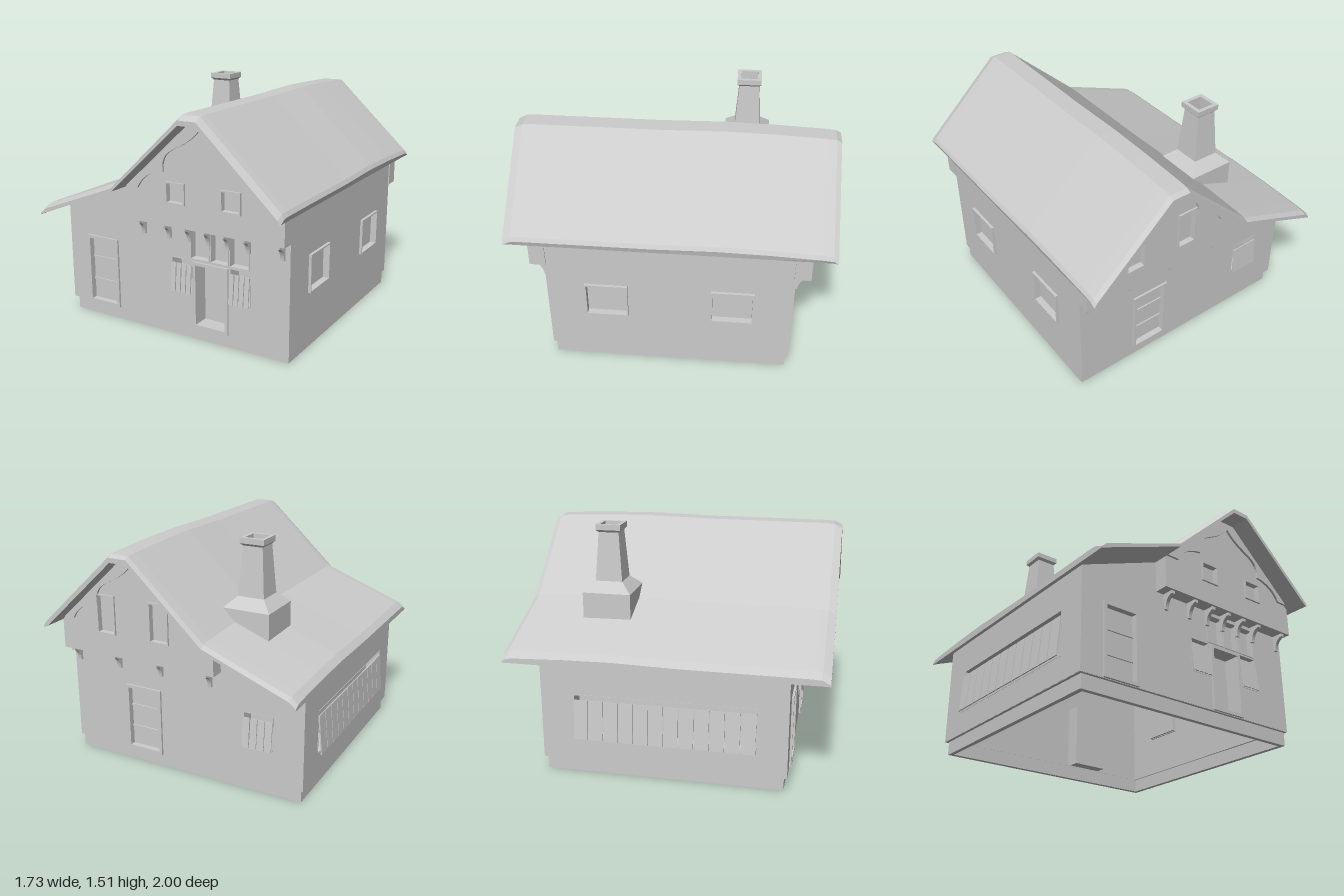
import * as THREE from 'three';

const grey = new THREE.MeshStandardMaterial({ color: 0xcccccc, flatShading: true });

function add(parent, name, geo, x = 0, y = 0, z = 0) {
  const m = new THREE.Mesh(geo, grey);
  m.name = name;
  m.position.set(x, y, z);
  parent.add(m);
  return m;
}

const poly = pts => new THREE.Shape(pts.map(p => new THREE.Vector2(p[0], p[1])));
const rect = (x0, y0, x1, y1) => poly([[x0, y0], [x1, y0], [x1, y1], [x0, y1]]);
const extrude = (shape, depth) => new THREE.ExtrudeGeometry(shape, { depth, bevelEnabled: false, curveSegments: 8 });

// rectangular ring, outer size w x h, border t
function ring(w, h, t, depth) {
  const s = rect(-w / 2, -h / 2, w / 2, h / 2);
  s.holes.push(rect(-w / 2 + t, -h / 2 + t, w / 2 - t, h / 2 - t));
  return extrude(s, depth);
}

// recessed opening: frame lining, pane, and optional rails or tilted planks
function opening(parent, o, z) {
  const w = o.x1 - o.x0, h = o.y1 - o.y0, cx = (o.x0 + o.x1) / 2, cy = (o.y0 + o.y1) / 2;
  const g = new THREE.Group();
  g.name = o.name;
  g.position.set(cx, cy, z);
  parent.add(g);
  add(g, o.name + 'Frame', ring(w, h, o.t, o.d + o.out), 0, 0, -o.d);
  const back = o.back || 0.02;
  add(g, o.name + 'Pane', new THREE.BoxGeometry(w - 0.01, h - 0.01, back), 0, 0, -o.d - back / 2 + 0.005);
  for (let i = 1; i <= (o.rails || 0); i++)
    add(g, 'doorRail', new THREE.BoxGeometry(w - o.t, 0.012, 0.012), 0, -h / 2 + h * i / (o.rails + 1), -o.d + 0.008);
  const n = o.planks || 0, pw = w / n, len = h - 0.035;
  for (let i = 0; i < n; i++) {
    const p = add(g, 'shutterPlank', new THREE.BoxGeometry(pw - 0.006, len, 0.008),
      -w / 2 + pw * (i + 0.5), -h / 2 + len / 2, 0.013);
    p.rotation.x = -0.09;
  }
}

// wall panel with its outer face at local z, cut by its openings
function wall(parent, name, pts, openings, z, depth) {
  const s = poly(pts), e = 0.004;
  for (const o of openings) s.holes.push(rect(o.x0 + e, o.y0 + e, o.x1 - e, o.y1 - e));
  add(parent, name, extrude(s, depth), 0, 0, z - depth);
  for (const o of openings) opening(parent, o, z);
}

const door = (x0, x1, y1, d, back, rails) => ({ name: 'door', x0, x1, y0: 0.092, y1, t: 0.02, d, back, rails, out: 0.014 });
const pane = (x0, x1, y0, y1, out = 0.012, t = 0.01, d = 0.03) => ({ name: 'window', x0, x1, y0, y1, t, d, out });
const shutter = (x0, x1, y0, y1, planks) => ({ name: 'shutter', x0, x1, y0, y1, planks, t: 0.006, d: 0.1, out: 0.002 });

// roof: a profile lofted along z, its upper skin drooping at both ends
function roofGeometry() {
  const top = [[-0.87, 0.765], [-0.83, 0.8], [-0.28, 1.01], [0.21, 1.465], [0.33, 1.465], [0.845, 0.985], [0.86, 0.96]];
  const under = [[0.85, 0.922], [0.825, 0.935], [0.325, 1.4], [0.21, 1.4], [-0.28, 0.955], [-0.83, 0.738], [-0.87, 0.72]];
  const rows = [[-1, -0.035], [-0.97, -0.018], [-0.9, -0.012], [-0.6, 0], [-0.3, 0.005], [0.1, -0.004], [0.9, -0.006], [0.95, -0.01], [1, -0.035]];
  const n = top.length * 2, pos = [], idx = [];
  const quad = (a, b, c, d) => idx.push(a, b, c, a, c, d);
  rows.forEach(([z, dy], k) => {
    top.forEach(p => pos.push(p[0], p[1] + dy, z));
    under.forEach(p => pos.push(p[0], p[1], z));
    if (k) for (let i = 0; i < n; i++) {
      const j = (i + 1) % n, a = (k - 1) * n, b = k * n;
      quad(a + i, b + i, b + j, a + j);
    }
  });
  const f = (rows.length - 1) * n;
  for (let i = 0; i < top.length - 1; i++) {
    quad(f + n - 1 - i, f + n - 2 - i, f + i + 1, f + i);
    quad(i, i + 1, n - 2 - i, n - 1 - i);
  }
  const g = new THREE.BufferGeometry();
  g.setAttribute('position', new THREE.Float32BufferAttribute(pos, 3));
  g.setIndex(idx);
  const flat = g.toNonIndexed();
  flat.computeVertexNormals();
  return flat;
}

// ornamental gable board with an ogee lower edge
function gableBoard() {
  const s = new THREE.Shape();
  s.moveTo(-0.28, 0.965);
  s.lineTo(-0.18, 0.965);
  s.quadraticCurveTo(-0.13, 1.07, 0.01, 1.085);
  s.lineTo(0.01, 1.13);
  s.bezierCurveTo(0.02, 1.2, 0.07, 1.22, 0.13, 1.25);
  s.quadraticCurveTo(0.23, 1.3, 0.27, 1.36);
  s.quadraticCurveTo(0.31, 1.3, 0.41, 1.25);
  s.bezierCurveTo(0.47, 1.22, 0.52, 1.2, 0.53, 1.13);
  s.lineTo(0.53, 1.085);
  s.quadraticCurveTo(0.67, 1.07, 0.72, 0.965);
  s.lineTo(0.815, 0.965);
  s.lineTo(0.325, 1.415);
  s.lineTo(0.21, 1.415);
  s.lineTo(-0.28, 0.975);
  return extrude(s, 0.02);
}

function bracketGeometry() {
  const s = new THREE.Shape();
  s.moveTo(0, 0);
  s.lineTo(0.08, 0);
  s.lineTo(0.08, -0.02);
  s.quadraticCurveTo(0.025, -0.03, 0.02, -0.105);
  s.lineTo(0, -0.105);
  return extrude(s, 0.025).rotateY(-Math.PI / 2).translate(0.0125, 0, 0);
}

// front or back end; the back is mirrored in x before it is turned round
function endWall(house, name, openings, gableWindows, brackets, back) {
  const g = new THREE.Group();
  g.name = name;
  if (back) g.rotation.y = Math.PI;
  house.add(g);
  const s = back ? -1 : 1;
  const flipPts = pts => pts.map(([x, y]) => [s * x, y]);
  const flip = list => list.map(o => back ? { ...o, x0: -o.x1, x1: -o.x0 } : o);
  wall(g, name + 'Wall', flipPts([[-0.83, 0.09], [0.81, 0.09], [0.81, 0.955], [0.325, 1.41], [0.21, 1.41], [-0.28, 0.965], [-0.83, 0.745]]),
    flip(openings), 0.77, 0.02);
  wall(g, name + 'Gable', flipPts([[-0.28, 0.75], [0.817, 0.75], [0.817, 0.95], [0.325, 1.41], [0.21, 1.41], [-0.28, 0.965]]),
    flip(gableWindows), 0.86, 0.1);
  const board = gableBoard();
  if (back) board.rotateY(Math.PI).translate(0, 0, 0.02);
  add(g, 'gableBoard', board, 0, 0, 0.855);
  for (const x of brackets) add(g, 'bracket', bracketGeometry(), s * x, 0.75, 0.765);
}

function sideWall(house, name, x, top, openings) {
  const g = new THREE.Group();
  g.name = name;
  g.rotation.y = Math.sign(x) * Math.PI / 2;
  house.add(g);
  wall(g, name + 'Wall', [[-0.77, 0.09], [0.77, 0.09], [0.77, top], [-0.77, top]], openings, Math.abs(x), 0.02);
}

export function createModel() {
  const house = new THREE.Group();
  house.name = 'house';

  // plinth, open underneath, and the ledge carrying the walls
  add(house, 'plinth', ring(1.61, 1.5, 0.03, 0.09).rotateX(-Math.PI / 2), -0.005);
  add(house, 'wallLedge', ring(1.638, 1.538, 0.05, 0.008).rotateX(-Math.PI / 2), -0.01, 0.088);

  // walls
  endWall(house, 'front', [
    door(-0.68, -0.43, 0.557, 0.03, 0.1, 2), door(0.15, 0.4, 0.522, 0.1, 0.03, 0),
    pane(0.13, 0.268, 0.535, 0.73, 0.005, 0.006, 0.05), pane(0.274, 0.402, 0.535, 0.73, 0.005, 0.006, 0.05),
    pane(0.408, 0.546, 0.535, 0.73, 0.005, 0.006, 0.05),
    shutter(-0.01, 0.14, 0.305, 0.528, 4), shutter(0.408, 0.55, 0.305, 0.528, 4),
  ], [pane(0.022, 0.158, 0.895, 1.03), pane(0.405, 0.54, 0.895, 1.03)],
  [-0.21, -0.02, 0.13, 0.265, 0.4, 0.54, 0.765], false);

  endWall(house, 'back', [door(0.15, 0.41, 0.54, 0.03, 0.1, 2), shutter(-0.63, -0.43, 0.305, 0.53, 4)],
    [pane(0.022, 0.158, 0.895, 1.15), pane(0.405, 0.54, 0.895, 1.15)],
    [-0.21, 0.14, 0.45, 0.765], true);

  sideWall(house, 'left', 0.81, 0.955, [pane(-0.53, -0.26, 0.37, 0.612, 0.018), pane(0.26, 0.53, 0.37, 0.612, 0.018)]);
  sideWall(house, 'right', -0.83, 0.755, [shutter(-0.56, 0.58, 0.24, 0.53, 12)]);

  // roof
  add(house, 'roof', roofGeometry());

  // square hollow chimney
  const profile = [[0.155, 0.86], [0.155, 1.09], [0.087, 1.155], [0.065, 1.465], [0.08, 1.48], [0.08, 1.515],
    [0.055, 1.515], [0.055, 1.4], [0, 1.4]].map(([r, y]) => new THREE.Vector2(r * Math.SQRT2, y));
  const chimney = new THREE.LatheGeometry(profile, 4).rotateY(Math.PI / 4).toNonIndexed();
  chimney.computeVertexNormals();
  add(house, 'chimney', chimney, -0.35, 0, -0.43);

  return house;
}
